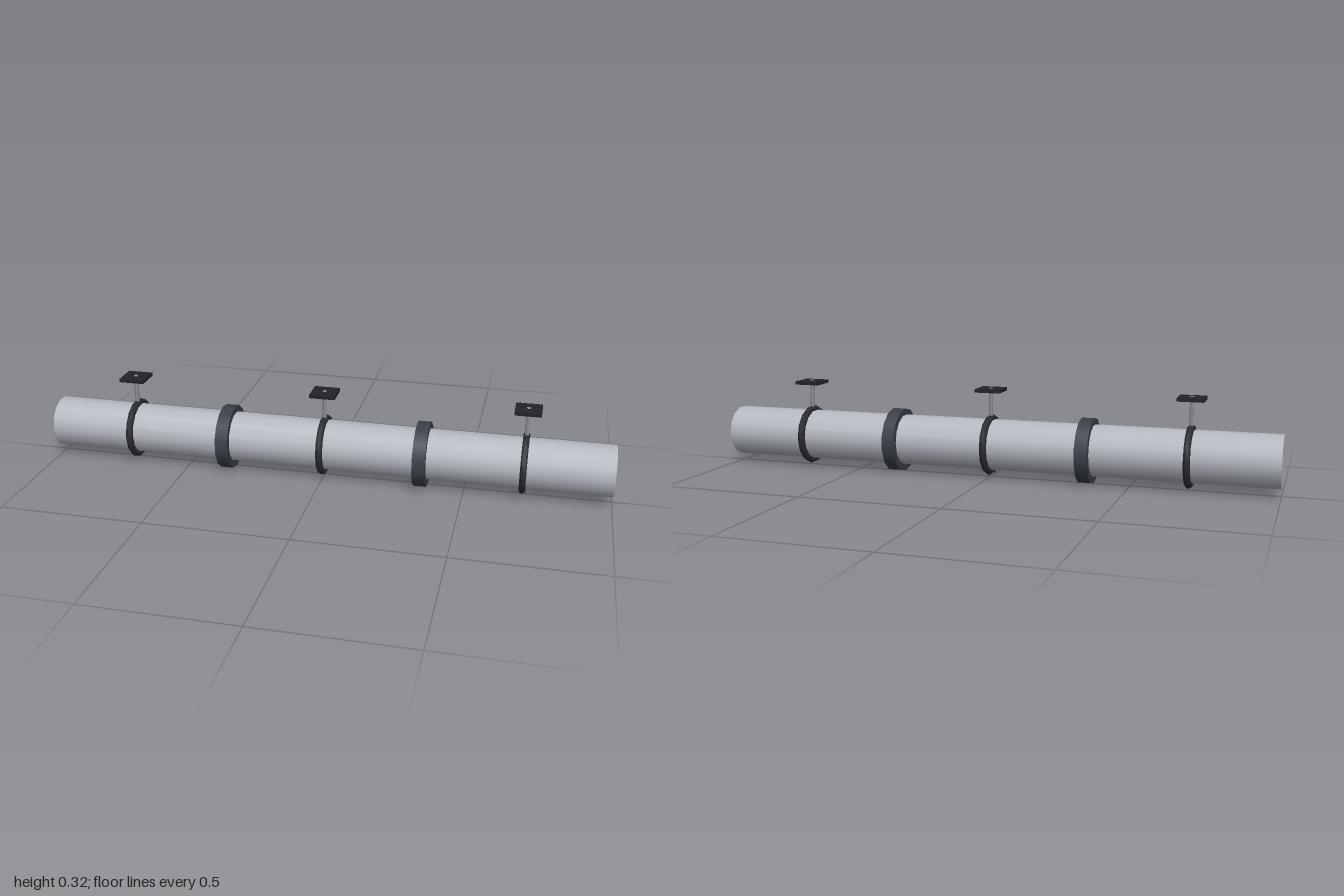
import * as THREE from 'three';

const SIDES = 14;
const AXIS_Y = 0.115;

const mat = (color) => new THREE.MeshStandardMaterial({ color });

export function createModel() {
  const model = new THREE.Group();
  model.name = 'suspendedPipe';
  const pipeMat = mat(0xb4b8c0);
  const collarMat = mat(0x3a3f48);
  const clampMat = mat(0x2a2d33);
  const rodMat = mat(0x8c9099);
  const plateMat = mat(0x222328);

  const add = (parent, name, geometry, material, x, y) => {
    const mesh = new THREE.Mesh(geometry, material);
    mesh.name = name;
    mesh.position.set(x, y, 0);
    parent.add(mesh);
    return mesh;
  };

  // Main pipe along x
  const pipeGeo = new THREE.CylinderGeometry(0.09, 0.09, 2, SIDES).rotateZ(Math.PI / 2);
  add(model, 'pipe', pipeGeo, pipeMat, 0, AXIS_Y + 0.001);

  // Coupling collars, turned half a facet against the pipe
  const collarGeo = new THREE.CylinderGeometry(0.114, 0.114, 0.045, SIDES, 1, false, Math.PI / SIDES)
    .rotateZ(Math.PI / 2);
  for (const x of [-0.35, 0.35]) add(model, 'couplingCollar', collarGeo, collarMat, x, 0.114);

  // Hangers: clamp ring, rod and ceiling plate
  const ringGeo = new THREE.TorusGeometry(0.096, 0.0125, 6, SIDES).rotateY(Math.PI / 2);
  const rodGeo = new THREE.CylinderGeometry(0.0075, 0.0075, 0.112, 6);
  const plateGeo = new THREE.BoxGeometry(0.09, 0.012, 0.09);
  for (const x of [-0.7, 0, 0.7]) {
    const hanger = new THREE.Group();
    hanger.name = 'hanger';
    hanger.position.x = x;
    add(hanger, 'clampRing', ringGeo, clampMat, 0, AXIS_Y);
    add(hanger, 'hangerRod', rodGeo, rodMat, 0, 0.262);
    add(hanger, 'ceilingPlate', plateGeo, plateMat, 0, 0.31);
    model.add(hanger);
  }
  return model;
}
